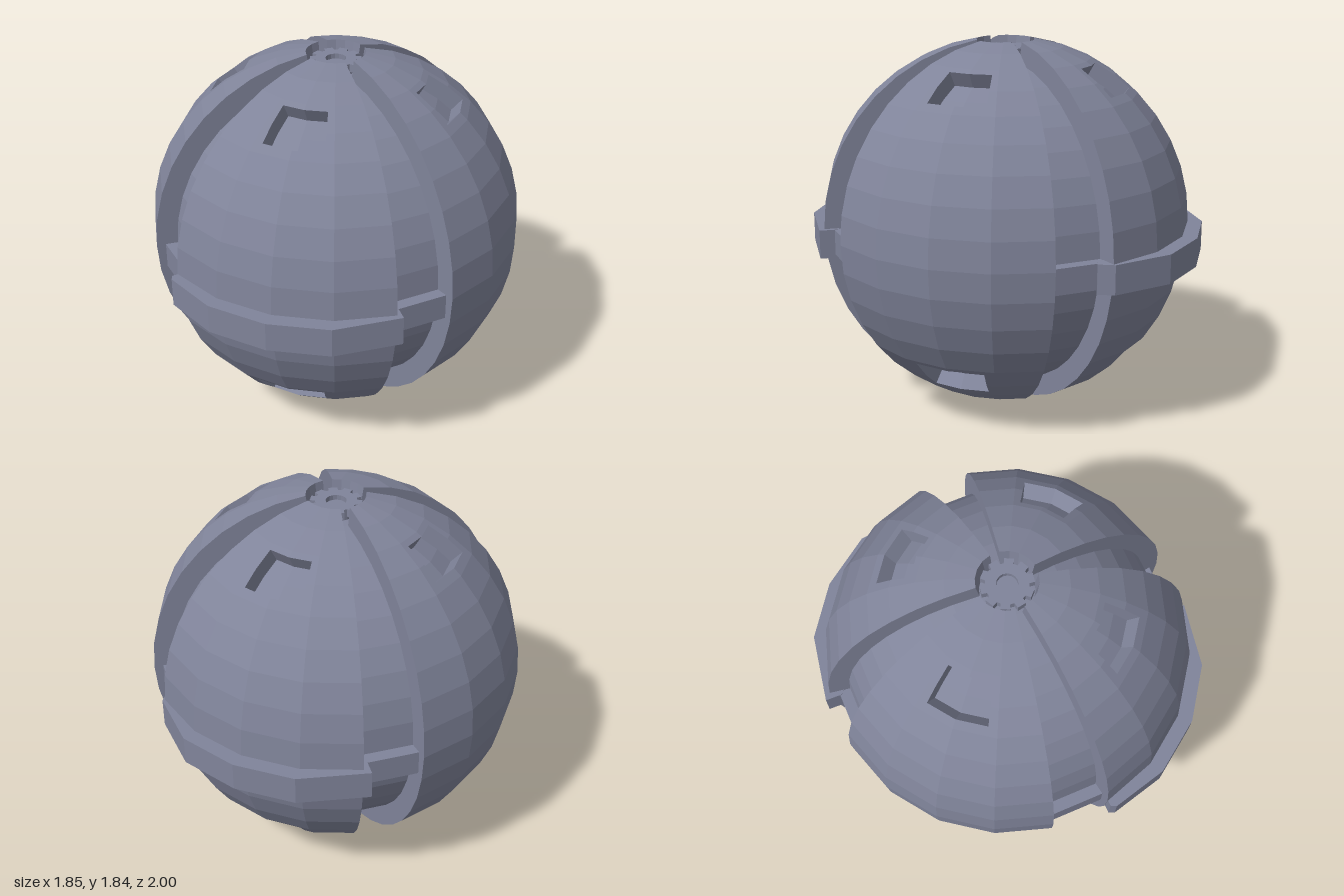
import * as THREE from 'three';

const R = 0.925, CORE = 0.82, FLOOR = 0.845, CY = 0.925;
const rad = THREE.MathUtils.degToRad;

// Point of a faceted unit sphere (18 x 9 degree facets), theta down from the top, phi from +z to +x
function facetPoint(theta, phi, r) {
  const onGrid = (t, p) => new THREE.Vector3(
    Math.sin(rad(t)) * Math.sin(rad(p)), Math.cos(rad(t)), Math.sin(rad(t)) * Math.cos(rad(p)));
  const t0 = Math.floor(theta / 9) * 9, p0 = Math.floor(phi / 18) * 18;
  const u = (theta - t0) / 9, v = (phi - p0) / 18;
  const top = onGrid(t0, p0).lerp(onGrid(t0, p0 + 18), v);
  const low = onGrid(t0 + 9, p0).lerp(onGrid(t0 + 9, p0 + 18), v);
  return top.lerp(low, u).multiplyScalar(r);
}

// Quarter panel with two sunken windows; walls close every step in radius
function panelGeometry() {
  const half = 14;
  const phis = [-36, -18, -half, 0, half, 18, 36];
  const windows = [[29, 42], [127.6, 140.8]];
  const thetas = windows.flat();
  for (let t = 9; t <= 180; t += 9) thetas.push(t);
  thetas.sort((a, b) => a - b);
  const rows = thetas.length - 1, cols = phis.length - 1;
  const cellRadius = (i, j) => {
    if (i < 0 || j < 0 || i >= rows || j >= cols) return CORE - 0.01;
    const t = (thetas[i] + thetas[i + 1]) / 2, p = (phis[j] + phis[j + 1]) / 2;
    const sunk = Math.abs(p) < half && windows.some(([a, b]) => t > a && t < b);
    return sunk ? FLOOR : R;
  };
  const pos = [];
  const quad = (a, b, c, d) => [a, b, c, a, c, d].forEach(v => pos.push(v.x, v.y, v.z));
  const P = (i, j, r) => facetPoint(thetas[i], phis[j], r);
  for (let i = 0; i <= rows; i++) for (let j = 0; j <= cols; j++) {
    const r = cellRadius(i, j), above = cellRadius(i - 1, j), left = cellRadius(i, j - 1);
    if (i < rows && j < cols)
      quad(P(i, j, r), P(i + 1, j, r), P(i + 1, j + 1, r), P(i, j + 1, r));
    if (j < cols && i < rows && above !== r)
      quad(P(i, j, above), P(i, j, r), P(i, j + 1, r), P(i, j + 1, above));
    if (i < rows && left !== r)
      quad(P(i, j, left), P(i + 1, j, left), P(i + 1, j, r), P(i, j, r));
  }
  const g = new THREE.BufferGeometry();
  g.setAttribute('position', new THREE.Float32BufferAttribute(pos, 3));
  g.computeVertexNormals();
  return g;
}

// Upright prism from a ground plan of [x, z] points
function prism(plan, y0, y1, hole) {
  const shape = new THREE.Shape(plan.map(([x, z]) => new THREE.Vector2(x, -z)));
  if (hole) shape.holes.push(new THREE.Path().absarc(0, 0, hole, 0, Math.PI * 2, true));
  const g = new THREE.ExtrudeGeometry(shape, { depth: y1 - y0, bevelEnabled: false, curveSegments: 8 });
  return g.rotateX(-Math.PI / 2).translate(0, y0, 0);
}

const polar = (r, deg) => [r * Math.sin(rad(deg)), r * Math.cos(rad(deg))];

export function createModel() {
  const model = new THREE.Group();
  // Blue-grey metal throughout
  const mat = new THREE.MeshStandardMaterial({ color: 0x80849a, flatShading: true });
  const matDouble = mat.clone();
  matDouble.side = THREE.DoubleSide;
  const add = (name, geometry, material = mat) => {
    const mesh = new THREE.Mesh(geometry, material);
    mesh.name = name;
    model.add(mesh);
    return mesh;
  };

  // Inner ball seen in the grooves
  add('core', new THREE.SphereGeometry(CORE, 20, 20)).position.y = CY;

  // Four outer panels
  const panel = panelGeometry();
  ['front', 'left', 'back', 'right'].forEach((side, k) => {
    const mesh = add(side + 'Panel', panel, matDouble);
    mesh.position.y = CY;
    mesh.rotation.y = k * Math.PI / 2;
  });

  // Raised belts on the front and back panels
  const inner = [36, 18, 0, -18, -36].map(a => polar(0.85, a));
  const frontBelt = [[-0.53, 0.74], [-0.56, 0.77], [-0.55, 0.8], [-0.3, 0.95], [0, 1],
    [0.3, 0.95], [0.577, 0.757], [0.524, 0.683], ...inner];
  const backBelt = [[0.51, -0.656], [0.57, -0.68], [0.55, -0.76], [0.3, -0.95], [0, -1],
    [-0.3, -0.95], [-0.587, -0.75], [-0.53, -0.69], ...inner.map(([x, z]) => [-x, -z])];
  add('frontBelt', prism(frontBelt, 0.782, 0.927));
  add('backBelt', prism(backBelt, 0.782, 0.927));

  // Belt links bridging the four grooves
  for (let k = 0; k < 4; k++) {
    const a = 36 + k * 90;
    const plan = [polar(0.88, a), polar(0.88, a + 18), polar(0.78, a + 18), polar(0.78, a)];
    add('beltLink', prism(plan, 0.798, 0.925));
  }

  // Toothed cap in the top opening
  const teeth = [];
  for (let k = 0; k < 10; k++)
    [[0.125, -10], [0.125, 10], [0.1, 13], [0.1, 23]].forEach(([r, a]) => teeth.push(polar(r, k * 36 + a)));
  add('toothedCap', prism(teeth, 1.765, 1.805, 0.05));
  add('capHub', new THREE.CylinderGeometry(0.085, 0.085, 0.06, 16)).position.y = 1.75;

  return model;
}
